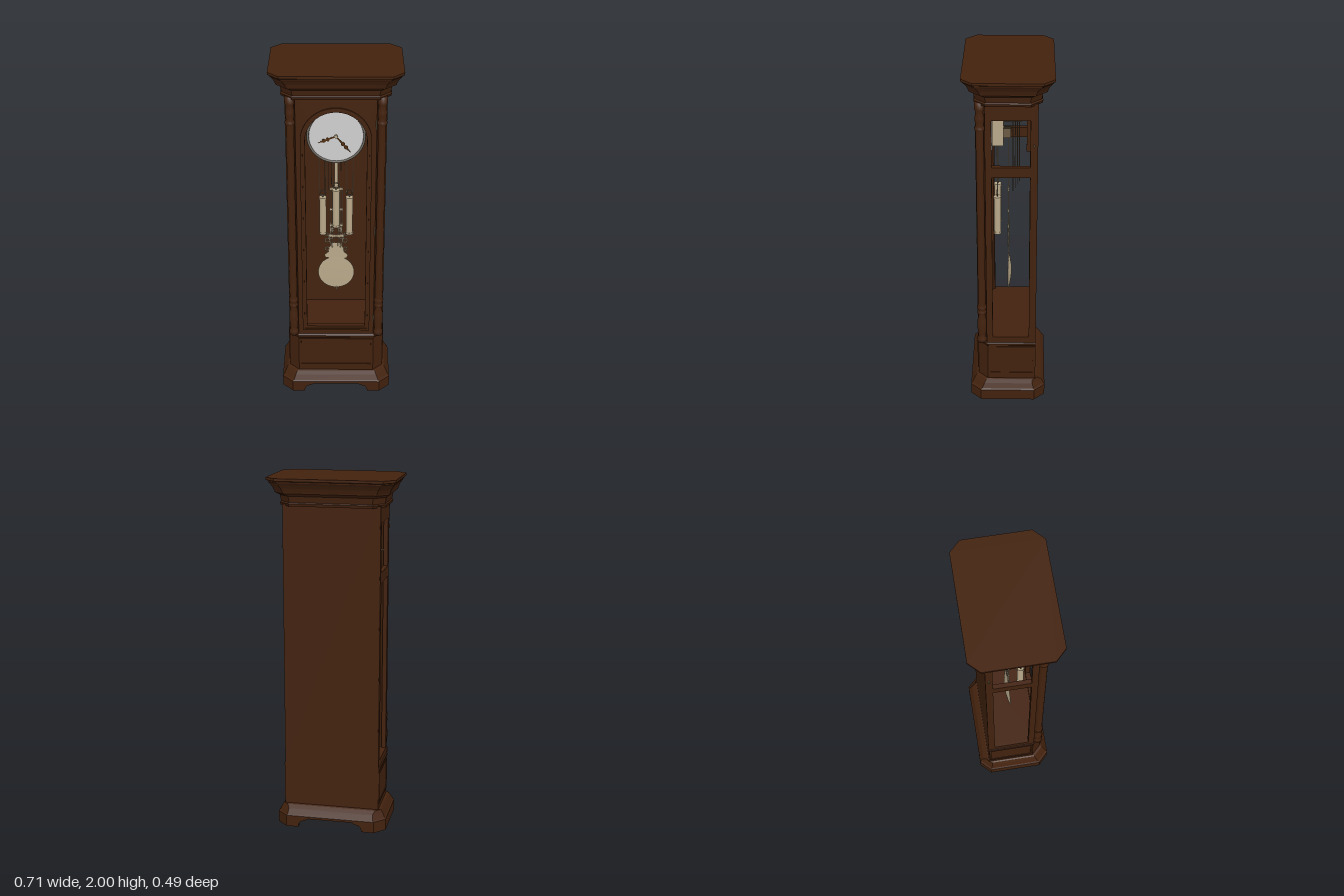
import * as THREE from 'three';

const mat = (name, color, side = THREE.FrontSide) => {
  const m = new THREE.MeshStandardMaterial({ color, side });
  m.name = name;
  return m;
};

export function createModel() {
  const root = new THREE.Group();
  root.name = 'longcaseClock';
  const wood = mat('dark wood', 0x43220e);
  const brass = mat('pale brass', 0xb9a98a, THREE.DoubleSide);
  const steel = mat('dark brass', 0x6a5a42);
  const white = mat('dial white', 0xd0d0d0);
  const bezelGrey = mat('bezel grey', 0x68645c);
  const handBrown = mat('hand bronze', 0x4f2e10);

  const add = (name, geo, m, x = 0, y = 0, z = 0, parent = root) => {
    const mesh = new THREE.Mesh(geo, m);
    mesh.name = name;
    mesh.position.set(x, y, z);
    parent.add(mesh);
    return mesh;
  };
  // box given by its limits
  const box = (name, m, x0, x1, y0, y1, z0, z1, parent = root) =>
    add(name, new THREE.BoxGeometry(x1 - x0, y1 - y0, z1 - z0), m, (x0 + x1) / 2, (y0 + y1) / 2, (z0 + z1) / 2, parent);
  const rod = (name, m, x, y0, y1, z, r, parent = root, seg = 8) =>
    add(name, new THREE.CylinderGeometry(r, r, y1 - y0, seg), m, x, (y0 + y1) / 2, z, parent);
  const extrude = (shape, depth) => new THREE.ExtrudeGeometry(shape, { depth, bevelEnabled: false, curveSegments: 24 });
  const poly = (pts) => new THREE.Shape(pts.map(([x, y]) => new THREE.Vector2(x, y)));
  const rect = (x0, x1, y0, y1) => poly([[x0, y0], [x1, y0], [x1, y1], [x0, y1]]);
  // plan shape [x, z] raised from y0 to y1
  const plan = (name, pts, y0, y1) => {
    const geo = extrude(poly(pts.map(([x, z]) => [x, -z])), y1 - y0);
    geo.rotateX(-Math.PI / 2);
    return add(name, geo, wood, 0, y0, 0);
  };
  // stacked eight-sided rings [y, halfWidth, front, back, frontCut, backCut]
  const loft = (name, rings) => {
    const loops = rings.map(([y, w, f, b, c, d]) => [
      [w - c, y, f], [w, y, f - c], [w, y, b + d], [w - d, y, b],
      [-w + d, y, b], [-w, y, b + d], [-w, y, f - c], [-w + c, y, f]]);
    const pos = [];
    const tri = (...p) => p.forEach((q) => pos.push(...q));
    for (let i = 0; i + 1 < loops.length; i++) {
      for (let j = 0; j < 8; j++) {
        const k = (j + 1) % 8, lo = loops[i], hi = loops[i + 1];
        tri(lo[j], lo[k], hi[k]);
        tri(lo[j], hi[k], hi[j]);
      }
    }
    const first = loops[0], last = loops[loops.length - 1];
    for (let j = 1; j < 7; j++) {
      tri(last[0], last[j], last[j + 1]);
      tri(first[0], first[j + 1], first[j]);
    }
    const geo = new THREE.BufferGeometry();
    geo.setAttribute('position', new THREE.Float32BufferAttribute(pos, 3));
    geo.computeVertexNormals();
    return add(name, geo, wood);
  };
  const arch = (w, y0, yc) => {
    const s = new THREE.Shape();
    s.moveTo(-w, y0).lineTo(w, y0).lineTo(w, yc).absarc(0, yc, w, 0, Math.PI, false).lineTo(-w, y0);
    return s;
  };

  // Base: hollow skirt with arched front and back, moulding above
  const skirt = new THREE.Shape();
  skirt.moveTo(-0.255, 0).lineTo(-0.185, 0).bezierCurveTo(-0.18, 0.05, -0.15, 0.03, -0.13, 0.052)
    .lineTo(0.13, 0.052).bezierCurveTo(0.15, 0.03, 0.18, 0.05, 0.185, 0)
    .lineTo(0.255, 0).lineTo(0.255, 0.065).lineTo(-0.255, 0.065);
  add('frontSkirt', extrude(skirt, 0.025), wood, 0, 0, 0.19);
  add('backSkirt', extrude(skirt, 0.025), wood, 0, 0, -0.215);
  for (const s of [1, -1]) {
    plan('sideSkirt', [[0.255, 0.215], [0.315, 0.155], [0.315, -0.155], [0.255, -0.215], [0.245, -0.19],
      [0.29, -0.145], [0.29, 0.145], [0.245, 0.19]].map(([x, z]) => [x * s, z]), 0, 0.065);
  }
  loft('baseMoulding', [[0.055, 0.314, 0.214, -0.214, 0.06, 0.06], [0.065, 0.315, 0.215, -0.215, 0.06, 0.06],
    [0.072, 0.308, 0.208, -0.21, 0.06, 0.06], [0.1, 0.295, 0.193, -0.193, 0.058, 0.05],
    [0.118, 0.285, 0.182, -0.172, 0.056, 0.03], [0.122, 0.278, 0.175, -0.165, 0.055, 0.01]]);

  // Plinth with framed panels
  loft('plinth', [[0.12, 0.272, 0.17, -0.16, 0.055, 0], [0.35, 0.272, 0.17, -0.16, 0.055, 0],
    [0.355, 0.276, 0.175, -0.16, 0.055, 0], [0.365, 0.276, 0.175, -0.16, 0.055, 0], [0.375, 0.268, 0.165, -0.16, 0.055, 0]]);
  const frame = (w0, w1, y0, y1, t) => {
    const s = rect(w0, w1, y0, y1);
    s.holes.push(rect(w0 + t, w1 - t, y0 + t, y1 - t));
    return s;
  };
  add('plinthFrontFrame', extrude(frame(-0.215, 0.215, 0.155, 0.345, 0.012), 0.006), wood, 0, 0, 0.17);
  for (const x of [0.276, -0.271]) {
    add('plinthSideFrame', extrude(frame(-0.155, 0.11, 0.155, 0.345, 0.01), 0.005), wood, x).rotation.y = -Math.PI / 2;
  }

  // Case: back, floor, ceiling and windowed sides
  box('backPanel', wood, -0.268, 0.268, 0.365, 1.855, -0.16, -0.145);
  box('caseFloor', wood, -0.25, 0.25, 0.365, 0.41, -0.15, 0.14);
  box('caseCeiling', wood, -0.25, 0.25, 1.76, 1.855, -0.15, 0.14);
  const side = rect(-0.159, 0.12, 0.365, 1.855);
  side.holes.push(rect(-0.12, 0.085, 0.41, 1.43), rect(-0.12, 0.085, 1.49, 1.76));
  for (const x of [0.271, -0.246]) {
    add('sideFrame', extrude(side, 0.025), wood, x).rotation.y = -Math.PI / 2;
  }

  // Front surround and arched door
  const front = rect(-0.216, 0.216, 0.365, 1.855);
  front.holes.push(arch(0.19, 0.405, 1.605));
  add('frontSurround', extrude(front, 0.03), wood, 0, 0, 0.135);
  const door = arch(0.186, 0.409, 1.605);
  door.holes.push(arch(0.166, 0.43, 1.605));
  add('door', extrude(door, 0.03), wood, 0, 0, 0.138);
  const bead = arch(0.192, 0.403, 1.605);
  bead.holes.push(arch(0.18, 0.415, 1.605));
  add('doorBead', extrude(bead, 0.008), wood, 0, 0, 0.165);
  for (const y of [0.48, 1.06, 1.7]) rod('doorHinge', steel, 0.214, y - 0.025, y + 0.025, 0.168, 0.004);

  // Corner posts with turned columns
  const column = [[0, 0.366], [0.028, 0.366], [0.028, 0.39], [0.02, 0.4], [0.023, 0.42], [0.027, 0.47], [0.025, 0.51],
    [0.018, 0.55], [0.026, 0.56], [0.026, 0.572], [0.02, 0.58], [0.027, 0.59], [0.027, 0.605], [0.021, 0.615],
    [0.021, 1.69], [0.027, 1.7], [0.027, 1.712], [0.02, 1.72], [0.025, 1.75], [0.025, 1.77], [0.019, 1.8],
    [0.027, 1.815], [0.027, 1.855], [0, 1.855]].map(([r, y]) => new THREE.Vector2(r, y));
  for (const s of [1, -1]) {
    plan('cornerPost', [[0.2, 0.164], [0.216, 0.164], [0.224, 0.135], [0.243, 0.122], [0.27, 0.119], [0.27, 0.09],
      [0.248, 0.09], [0.2, 0.136]].map(([x, z]) => [x * s, z]), 0.366, 1.854);
    add('cornerColumn', new THREE.LatheGeometry(column, 20), wood, 0.244 * s, 0, 0.147);
    const knob = add('sideKnob', new THREE.CylinderGeometry(0.005, 0.005, 0.012, 10), steel, 0.277 * s, 1.62, -0.14);
    knob.rotation.z = Math.PI / 2;
  }

  // Crown moulding
  loft('crown', [[1.845, 0.014], [1.86, 0.018], [1.866, 0.012], [1.9, 0.018], [1.908, 0.028], [1.916, 0.04], [1.925, 0.042],
    [1.945, 0.05], [1.965, 0.062], [1.975, 0.07], [1.982, 0.071], [1.986, 0.08], [2, 0.08]]
    .map(([y, o]) => [y, 0.275 + o, 0.16 + o, -0.165 - o, 0.06, 0.06]));

  // Dial, bezel and hands
  const dial = new THREE.Group();
  dial.name = 'dial';
  dial.position.set(0, 1.605, 0.095);
  root.add(dial);
  const disc = (name, r, d, m, z) => {
    add(name, new THREE.CylinderGeometry(r, r, d, 48), m, 0, 0, z, dial).rotation.x = Math.PI / 2;
  };
  disc('dialPlate', 0.155, 0.01, white, 0);
  add('bezel', new THREE.TorusGeometry(0.153, 0.007, 8, 64), bezelGrey, 0, 0, 0.004, dial);
  disc('handHub', 0.009, 0.012, brass, 0.01);
  const hand = (name, len, angle, z) => {
    const s = poly([[0, -0.004], [len * 0.35, -0.004], [len * 0.45, -0.013], [len * 0.55, -0.005], [len * 0.68, -0.011],
      [len * 0.78, -0.004], [len, 0], [len * 0.78, 0.004], [len * 0.68, 0.011], [len * 0.55, 0.005],
      [len * 0.45, 0.013], [len * 0.35, 0.004], [0, 0.004]]);
    add(name, extrude(s, 0.002), handBrown, 0, 0, z, dial).rotation.z = angle;
  };
  hand('hourHand', 0.108, Math.PI + 0.38, 0.008);
  hand('minuteHand', 0.125, -0.87, 0.011);

  // Movement, chime board and chime rods
  box('movement', brass, -0.075, 0.075, 1.525, 1.675, 0.025, 0.088);
  box('chimeBoard', wood, -0.09, 0.09, 1.5, 1.75, -0.12, -0.1);
  box('chimeShelf', wood, -0.09, 0.09, 1.712, 1.745, -0.105, -0.015);
  add('hammerArbor', new THREE.CylinderGeometry(0.003, 0.003, 0.1, 8), steel, 0, 1.64, -0.022).rotation.x = Math.PI / 2;
  for (let i = 0; i < 8; i++) {
    rod('chimeRod', steel, -0.063 + i * 0.018, 1.18 + i * 0.03, 1.715, -0.025 - (i % 4) * 0.012, 0.0022, root, 6);
    if (i % 2) box('chimeHammer', steel, -0.067 + i * 0.018, -0.059 + i * 0.018, 1.57, 1.582 + i * 0.006, -0.015, 0.026);
  }

  // Weights with pulleys and cables
  for (const [x, y] of [[-0.074, 0.985], [0, 1.03], [0.074, 0.985]]) {
    rod('weight', brass, x, y + 0.008, y + 0.225, 0.06, 0.019, root, 24);
    for (const h of [0, 0.22]) rod('weightCap', brass, x, y + h, y + h + 0.012, 0.06, 0.021, root, 24);
    rod('weightHook', steel, x, y + 0.23, y + 0.25, 0.06, 0.003);
    add('pulley', new THREE.TorusGeometry(0.016, 0.004, 6, 24), steel, x, y + 0.258, 0.06);
    for (const s of [-1, 1]) rod('cable', brass, x + s * 0.019, y + 0.26, 1.53, 0.06, 0.002, root, 6);
  }

  // Pendulum: dished bob, scrolled lyre and gridiron
  const pend = new THREE.Group();
  pend.name = 'pendulum';
  root.add(pend);
  const dish = [[0.001, -0.018], [0.035, -0.016], [0.07, -0.01], [0.095, -0.003], [0.105, 0], [0.103, 0.003], [0.001, 0.003]]
    .map(([r, y]) => new THREE.Vector2(r, y));
  add('bob', new THREE.LatheGeometry(dish, 48), brass, 0, 0.695, 0, pend).rotation.x = Math.PI / 2;
  rod('ratingNut', brass, 0, 0.575, 0.6, 0, 0.005, pend);
  box('pendulumRod', brass, -0.009, 0.009, 1.22, 1.56, -0.002, 0.002, pend);
  const lyre = poly([[-0.06, 0.79], [0.06, 0.79], [0.068, 0.81], [0.045, 0.83], [0.04, 0.86], [0.02, 0.89],
    [-0.02, 0.89], [-0.04, 0.86], [-0.045, 0.83], [-0.068, 0.81]]);
  add('lyrePlate', extrude(lyre, 0.004), brass, 0, 0, -0.002, pend);
  for (const s of [-1, 1]) {
    for (const [x, y, r] of [[0.052, 0.85, 0.011], [0.05, 0.905, 0.013], [0.03, 0.93, 0.013], [0.055, 0.945, 0.009], [0.022, 0.975, 0.01]]) {
      add('scroll', new THREE.TorusGeometry(r, 0.0035, 6, 20), brass, s * x, y, 0, pend);
    }
    const stem = new THREE.CatmullRomCurve3([[0.02, 0.86], [0.036, 0.9], [0.042, 0.93], [0.028, 0.97], [0.034, 1.02]]
      .map(([x, y]) => new THREE.Vector3(x * s, y, 0)));
    add('scrollStem', new THREE.TubeGeometry(stem, 20, 0.004, 6), brass, 0, 0, 0, pend);
    for (const x of [0.011, 0.022, 0.034]) rod('gridironRod', brass, x * s, 0.87, 1.26 - x * 0.6, 0, 0.0032, pend, 6);
  }
  for (const y of [0.93, 1.0, 1.1, 1.23]) box('gridironBar', brass, -0.038, 0.038, y, y + 0.012, -0.004, 0.004, pend);
  return root;
}
